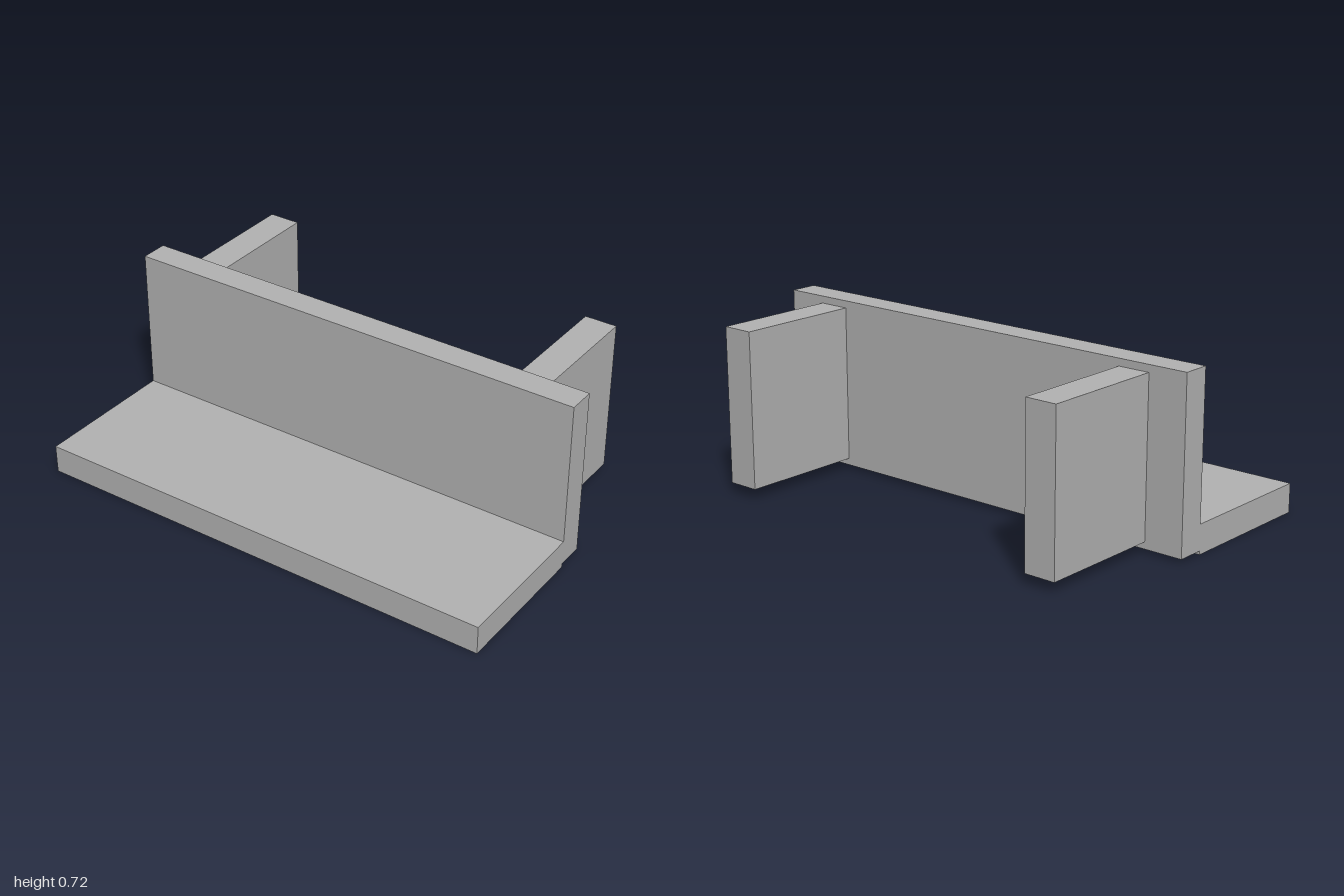
import * as THREE from 'three';

export function createModel() {
  const model = new THREE.Group();
  model.name = 'bracketedShelf';
  const grey = new THREE.MeshStandardMaterial({ color: 0xb2b2b2 });
  grey.name = 'plain grey';

  // Box given by its lower and upper limits on each axis
  function slab(name, [x0, x1], [y0, y1], [z0, z1]) {
    const mesh = new THREE.Mesh(new THREE.BoxGeometry(x1 - x0, y1 - y0, z1 - z0), grey);
    mesh.position.set((x0 + x1) / 2, (y0 + y1) / 2, (z0 + z1) / 2);
    mesh.name = name;
    model.add(mesh);
  }

  // Flat shelf in front, set slightly lower than the upright panel
  slab('shelf', [-1, 1], [0, 0.12], [0.017, 0.63]);
  slab('uprightPanel', [-1, 1], [0.015, 0.72], [-0.099, 0.017]);

  // Two rear supports
  slab('rightSupport', [-0.835, -0.7], [0.043, 0.69], [-0.63, -0.099]);
  slab('leftSupport', [0.694, 0.829], [0.043, 0.69], [-0.63, -0.099]);

  return model;
}
